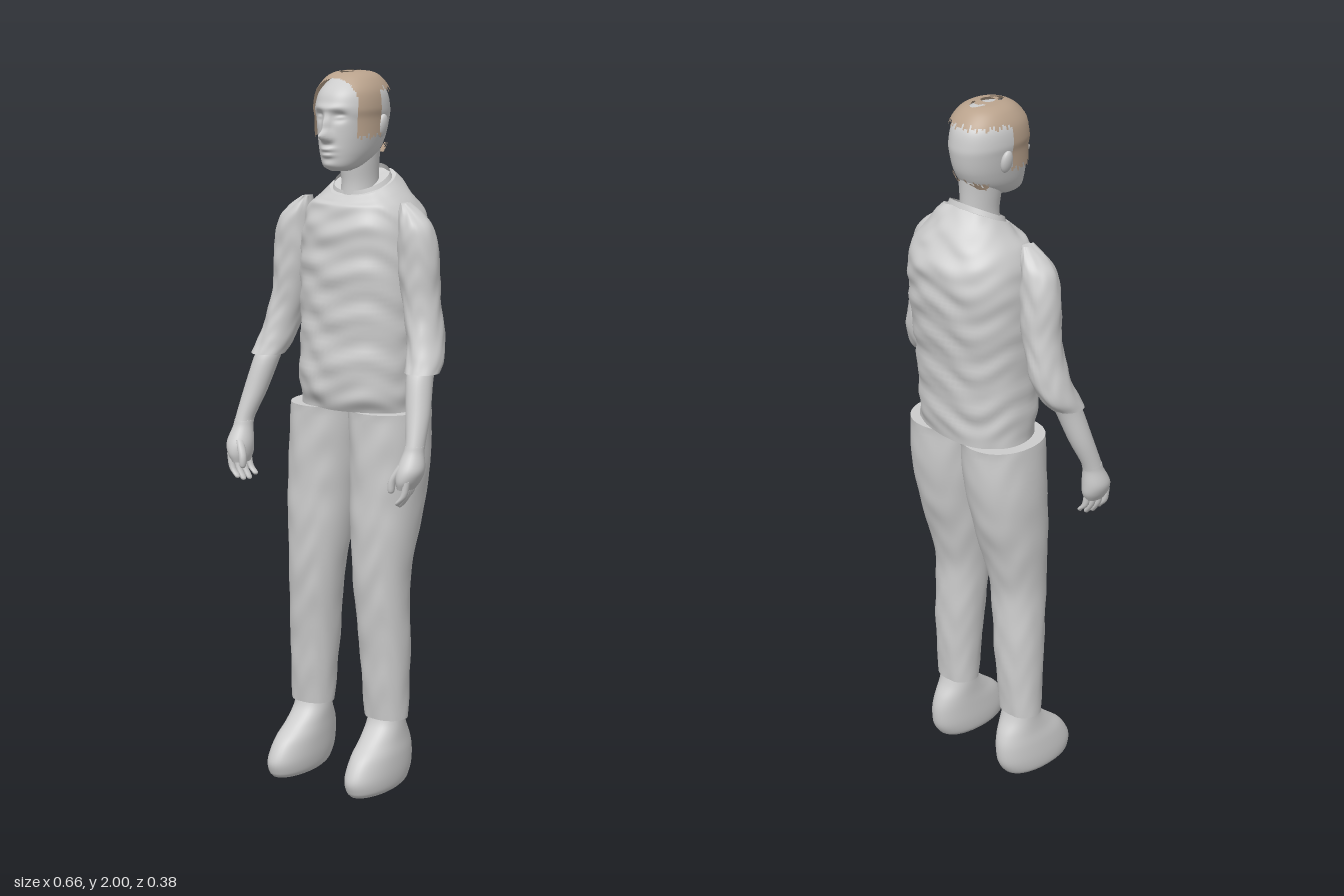
import * as THREE from 'three';

const clay = new THREE.MeshStandardMaterial({ color: 0xcccccc, side: THREE.DoubleSide });
clay.name = 'light grey';
const brown = new THREE.MeshStandardMaterial({ color: 0xb9a28c, side: THREE.DoubleSide });
brown.name = 'hair brown';

// Smooth skin over horizontal rings [y, centreX, halfWidth, frontZ, backZ, tilt], listed upwards.
function loft(rings, { seg = 32, rows = 5, power = 2, bend, keep, caps = true } = {}) {
  const flat = new Float32Array(rings.flatMap(r => [...r, 0].slice(0, 6)));
  const curve = new THREE.CubicInterpolant(rings.map((_, i) => i), flat, 6);
  const n = (rings.length - 1) * rows;
  const pts = [], index = [];
  const round = c => Math.sign(c) * Math.abs(c) ** (2 / power);
  for (let j = 0; j <= n; j++) {
    const [y, cx, hw, zf, zb, tilt] = curve.evaluate(j / rows);
    for (let i = 0; i < seg; i++) {
      const a = (i / seg) * Math.PI * 2;
      const dz = (zf - zb) / 2 * round(Math.sin(a));
      const v = new THREE.Vector3(cx + hw * round(Math.cos(a)), y + tilt * dz, (zf + zb) / 2 + dz);
      if (bend) bend(v, a);
      pts.push(v);
    }
  }
  for (let j = 0; j < n; j++) for (let i = 0; i < seg; i++) {
    const k = (i + 1) % seg;
    const a = j * seg + i, b = j * seg + k, c = a + seg, d = b + seg;
    if (keep && !keep(pts[a].clone().add(pts[d]).multiplyScalar(0.5), i)) continue;
    index.push(a, c, b, b, c, d);
  }
  // flat end caps with their own vertices, so the rims stay sharp
  if (caps) for (const top of [false, true]) {
    const rim = pts.slice(top ? n * seg : 0, top ? (n + 1) * seg : seg);
    const start = pts.length;
    const mid = rim.reduce((s, p) => s.add(p), new THREE.Vector3()).divideScalar(seg);
    pts.push(...rim, mid);
    for (let i = 0; i < seg; i++) {
      const p = start + i, q = start + (i + 1) % seg;
      index.push(start + seg, top ? q : p, top ? p : q);
    }
  }
  const geo = new THREE.BufferGeometry().setFromPoints(pts);
  geo.setIndex(index);
  geo.computeVertexNormals();
  return geo;
}

const bell = (d, s) => Math.exp(-((d / s) ** 2));

// Sculpts nose, eye sockets, brow, lips and chin into the front of the head.
function face(v) {
  if (v.z < 0.06) return;
  const u = v.x - 0.03, e = Math.abs(u) - 0.033;
  const y = v.y;
  v.z += 0.036 * bell(u, 0.013) * bell(y - 1.832, 0.014)
    + 0.018 * bell(u, 0.011) * bell(y - 1.862, 0.024)
    + 0.006 * bell(Math.abs(u) - 0.013, 0.008) * bell(y - 1.824, 0.008)
    - 0.015 * bell(e, 0.017) * bell(y - 1.884, 0.013)
    + 0.007 * bell(e, 0.012) * bell(y - 1.881, 0.006)
    + 0.006 * bell(u, 0.05) * bell(y - 1.906, 0.009)
    + 0.012 * bell(u, 0.02) * bell(y - 1.797, 0.007)
    + 0.010 * bell(u, 0.018) * bell(y - 1.781, 0.006)
    + 0.005 * bell(u, 0.02) * bell(y - 1.755, 0.01);
}

// Horizontal cloth folds
const folds = (depth, freq) => (v, a) => {
  const f = Math.sin(v.y * freq + 2.2 * Math.sin(a * 2 + v.y * 5) + 1.2 * Math.sin(a * 5))
    + 0.5 * Math.sin(v.y * freq * 1.7 + 3 * Math.cos(a * 3));
  v.x += Math.cos(a) * depth * 0.4 * f;
  v.z += Math.sin(a) * depth * f;
};

export function createModel() {
  const model = new THREE.Group();
  const add = (name, geo, mat = clay) => {
    const m = new THREE.Mesh(geo, mat);
    m.name = name;
    model.add(m);
    return m;
  };

  // Shirt body and stand-up collar
  add('shirt', loft([
    [1.08, 0.016, 0.175, 0.10, -0.145], [1.15, 0.016, 0.177, 0.12, -0.15],
    [1.30, 0.018, 0.178, 0.115, -0.16], [1.45, 0.018, 0.183, 0.115, -0.18],
    [1.55, 0.018, 0.18, 0.11, -0.187], [1.60, 0.02, 0.172, 0.105, -0.183],
    [1.64, 0.02, 0.152, 0.095, -0.16], [1.675, 0.025, 0.12, 0.08, -0.115, -0.25],
    [1.70, 0.028, 0.092, 0.065, -0.085, -0.45],
  ], { seg: 72, rows: 10, power: 2.25, bend: folds(0.0035, 62) }));
  add('collar', loft([
    [1.67, 0.03, 0.10, 0.068, -0.09, -0.4], [1.69, 0.028, 0.09, 0.063, -0.08, -0.5],
    [1.712, 0.028, 0.08, 0.06, -0.073, -0.5],
  ], { seg: 48, caps: false }));

  // Neck and head
  add('neck', loft([
    [1.64, 0.028, 0.055, 0.065, -0.06], [1.70, 0.03, 0.047, 0.062, -0.055],
    [1.76, 0.03, 0.05, 0.07, -0.055], [1.82, 0.03, 0.055, 0.07, -0.06],
  ]));
  const skull = [
    [1.737, 0.03, 0.026, 0.122, 0.06], [1.75, 0.03, 0.045, 0.143, 0.02],
    [1.78, 0.03, 0.062, 0.15, -0.04], [1.82, 0.03, 0.073, 0.152, -0.068],
    [1.87, 0.03, 0.082, 0.152, -0.08], [1.90, 0.03, 0.086, 0.154, -0.08],
    [1.94, 0.03, 0.080, 0.143, -0.07], [1.97, 0.03, 0.061, 0.115, -0.045],
    [1.985, 0.03, 0.038, 0.088, -0.018], [1.99, 0.03, 0.010, 0.05, 0.02],
  ];
  add('head', loft(skull, { seg: 96, rows: 10, power: 2.15, bend: face }));
  for (const s of [-1, 1]) {
    const ear = add(s > 0 ? 'leftEar' : 'rightEar', new THREE.SphereGeometry(1, 16, 12));
    ear.scale.set(0.012, 0.032, 0.019);
    ear.position.set(0.03 + s * 0.085, 1.855, 0.02);
    ear.rotation.z = -s * 0.2;
  }

  // Hair: a thin cap with sideburns, a nape fringe and a thinning crown
  const hairRings = skull.slice(2).map(([y, x, w, f, b]) =>
    [y + (y - 1.78) * 0.05, x, w + 0.009 + Math.max(0, 1.86 - y) * 0.2, f + 0.003, b - 0.005]);
  add('hair', loft(hairRings, {
    seg: 120, rows: 10, power: 2.15, caps: false,
    keep: (p, i) => {
      const jag = 0.006 * Math.sin(i * 2.4) + 0.004 * Math.sin(i * 1.1);
      const ring = Math.hypot((p.x - 0.03) / 0.026, (p.z - 0.03) / 0.056);
      if (p.y > 1.97 && ring > 0.72 && ring < 1 && Math.abs(p.z - 0.03) > 0.025) return false;
      const cap = p.y > 1.952 + jag && p.z < 0.115;
      const side = p.y > 1.83 + jag && p.z > 0.035 && p.z < 0.113;
      const nape = p.y < 1.797 + jag && p.z < -0.025;
      return cap || side || nape;
    },
  }), brown);

  for (const s of [-1, 1]) {
    const side = s > 0 ? 'left' : 'right';
    // places one-sided rings on this side; the body leans slightly to its left higher up
    const place = (rings, lean, y0) => rings.map(([y, c, ...r]) => [y, s * c + lean * (y - y0), ...r]);
    const arm = rings => place(rings, 0.028, 0.95);
    const leg = rings => place(rings, 0.025, 0.5);

    // Arm
    add(side + 'Sleeve', loft(arm([
      [1.205, 0.264, 0.046, 0.098, 0.005], [1.24, 0.257, 0.05, 0.082, -0.028],
      [1.30, 0.243, 0.05, 0.065, -0.048], [1.40, 0.221, 0.053, 0.055, -0.05],
      [1.50, 0.211, 0.059, 0.06, -0.047], [1.58, 0.205, 0.05, 0.058, -0.038],
      [1.62, 0.188, 0.034, 0.048, -0.028], [1.652, 0.166, 0.01, 0.03, -0.01],
    ]), { seg: 40, rows: 8, bend: folds(0.002, 50) }));
    add(side + 'Forearm', loft(arm([
      [1.00, 0.294, 0.027, 0.152, 0.092], [1.03, 0.293, 0.026, 0.142, 0.083],
      [1.10, 0.28, 0.033, 0.122, 0.052], [1.19, 0.263, 0.036, 0.098, 0.02],
      [1.23, 0.26, 0.036, 0.075, 0.0],
    ]), { seg: 28 }));
    add(side + 'Hand', loft(arm([
      [0.905, 0.285, 0.02, 0.172, 0.105], [0.93, 0.29, 0.031, 0.18, 0.092],
      [0.96, 0.294, 0.036, 0.175, 0.09], [1.00, 0.294, 0.028, 0.153, 0.091],
      [1.02, 0.294, 0.026, 0.146, 0.087],
    ]), { seg: 28 }));
    for (let f = 0; f < 4; f++) {
      const z = 0.108 + f * 0.019, drop = [0.01, 0, 0, 0.008][f];
      const x = 0.272 + f * 0.006, r = 0.0095;
      add(side + 'Finger' + (f + 1), loft(arm([
        [0.853 + drop, x - 0.014, 0.004, z + 0.004, z - 0.004],
        [0.86 + drop, x - 0.012, r * 0.85, z + r, z - r],
        [0.89, x + 0.006, r, z + r, z - r],
        [0.93, x + 0.014, r, z + r, z - r],
      ]), { seg: 12, rows: 3 }));
    }
    add(side + 'Thumb', loft(arm([
      [0.893, 0.256, 0.004, 0.172, 0.164], [0.90, 0.256, 0.009, 0.178, 0.158],
      [0.93, 0.259, 0.011, 0.178, 0.154], [0.97, 0.28, 0.012, 0.168, 0.142],
    ]), { seg: 12, rows: 3 }));

    // Trouser leg and shoe
    add(side + 'TrouserLeg', loft(leg([
      [0.20, 0.13, 0.064, 0.056, -0.05], [0.40, 0.123, 0.072, 0.075, -0.06],
      [0.60, 0.113, 0.079, 0.095, -0.06], [0.75, 0.11, 0.094, 0.10, -0.095],
      [0.85, 0.109, 0.10, 0.10, -0.122], [0.95, 0.106, 0.107, 0.10, -0.137],
      [1.08, 0.10, 0.107, 0.10, -0.142],
    ]), { seg: 48, rows: 10, power: 2.15, bend: (v, a) => {
      if (v.y < 1.07) folds(0.0015, 32)(v, a);
    } }));
    add(side + 'Shoe', loft(leg([
      [0, 0.138, 0.046, 0.162, -0.048], [0.015, 0.138, 0.057, 0.174, -0.068],
      [0.05, 0.137, 0.061, 0.18, -0.087], [0.10, 0.135, 0.059, 0.152, -0.09],
      [0.14, 0.132, 0.055, 0.105, -0.079], [0.18, 0.13, 0.053, 0.063, -0.056],
      [0.22, 0.13, 0.05, 0.045, -0.042],
    ]), { seg: 40, rows: 6, power: 2.1 }));
  }
  return model;
}
